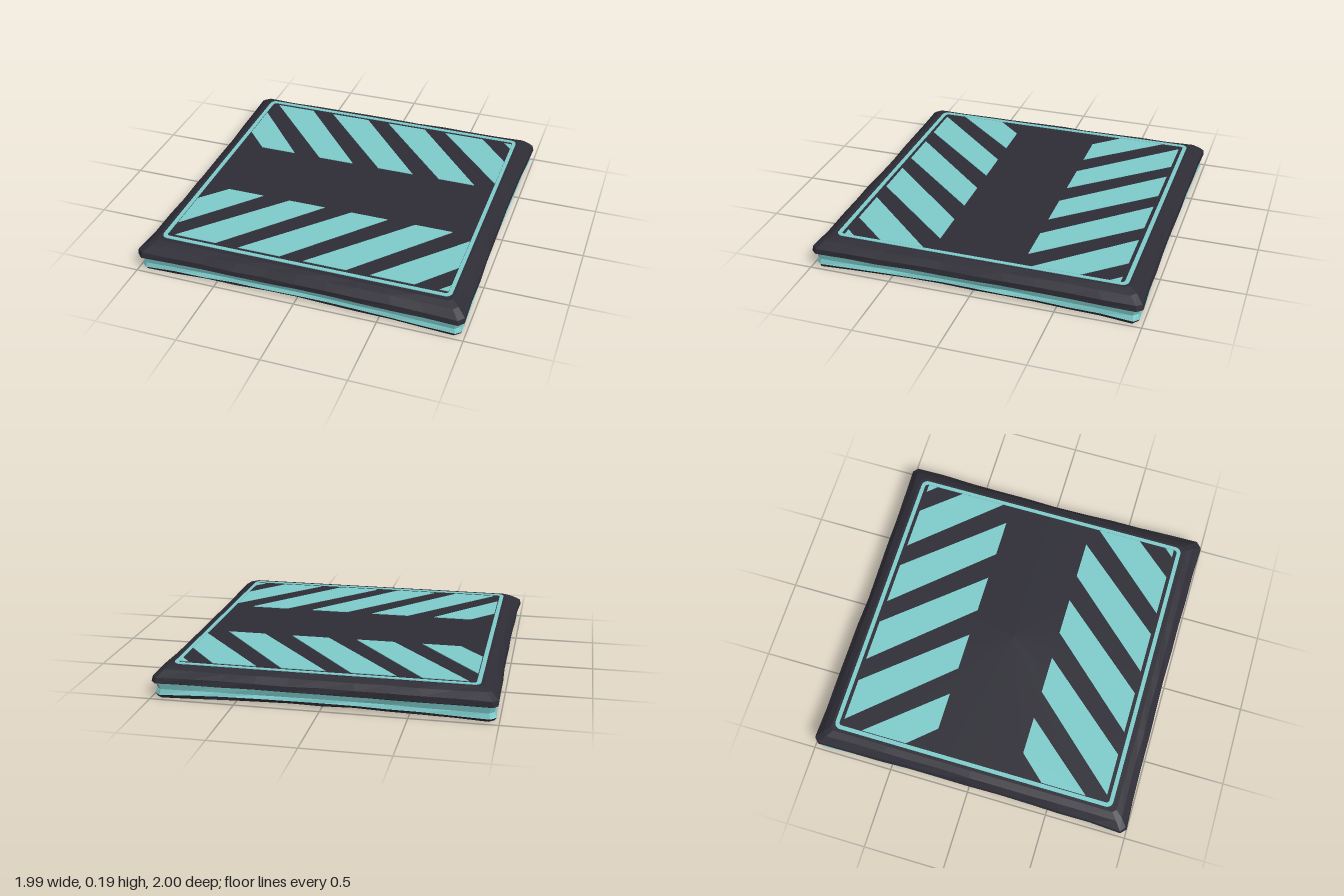
import * as THREE from 'three';

const dark = new THREE.MeshStandardMaterial({ color: 0x2e2d36 });
dark.name = 'charcoal';
dark.flatShading = true;
const teal = new THREE.MeshStandardMaterial({ color: 0x7fcdcd });
teal.name = 'teal';
teal.flatShading = true;

const SEG = 10; // steps along each side
const TOP = 0.186;

// Small repeatable irregularity in the range -1..1
const wobble = (n) => {
  const s = Math.sin(n * 12.9898) * 43758.5453;
  return (s - Math.floor(s)) * 2 - 1;
};

// One square cross-section with clipped corners: sides bow in by `bow`,
// and the middle of each side is raised by `lift`.
function ring({ half, y, clip = 0.03, bow = 0, lift = 0, rough = 0, seed = 0 }) {
  const points = [];
  for (let side = 0; side < 4; side++) {
    const angle = (side * Math.PI) / 2;
    for (let i = 0; i <= SEG; i++) {
      const t = (i / SEG) * 2 - 1;
      const n = seed * 97 + side * (SEG + 1) + i + 1;
      const mid = 1 - t * t;
      const out = half - bow * mid + rough * wobble(n);
      const p = new THREE.Vector3(t * (half - clip), y + lift * mid + rough * 0.6 * wobble(n + 500), out);
      points.push(p.applyAxisAngle(new THREE.Vector3(0, 1, 0), angle));
    }
  }
  return points;
}

// Skin between successive rings (bottom to top), with optional flat caps
function loft(name, material, rings, { bottomY, topY } = {}) {
  const positions = [];
  const tri = (a, b, c) => [a, b, c].forEach((p) => positions.push(p.x, p.y, p.z));
  const count = rings[0].length;
  const last = rings[rings.length - 1];
  for (let i = 0; i < count; i++) {
    const j = (i + 1) % count;
    for (let r = 0; r + 1 < rings.length; r++) {
      const lo = rings[r], hi = rings[r + 1];
      tri(lo[i], lo[j], hi[j]);
      tri(lo[i], hi[j], hi[i]);
    }
    if (bottomY !== undefined) tri(new THREE.Vector3(0, bottomY, 0), rings[0][j], rings[0][i]);
    if (topY !== undefined) tri(new THREE.Vector3(0, topY, 0), last[i], last[j]);
  }
  const geometry = new THREE.BufferGeometry();
  geometry.setAttribute('position', new THREE.Float32BufferAttribute(positions, 3));
  geometry.computeVertexNormals();
  const mesh = new THREE.Mesh(geometry, material);
  mesh.name = name;
  return mesh;
}

// Thin painted plate lying on the top face; shape coordinates are (x, -z)
function plate(name, shape) {
  const geometry = new THREE.ExtrudeGeometry(shape, { depth: 0.004, bevelEnabled: false, curveSegments: 5 });
  geometry.rotateX(-Math.PI / 2);
  const mesh = new THREE.Mesh(geometry, teal);
  mesh.position.y = TOP;
  mesh.name = name;
  return mesh;
}

function roundedRect(target, x0, x1, y0, y1, r) {
  target.absarc(x1 - r, y0 + r, r, -Math.PI / 2, 0);
  target.absarc(x1 - r, y1 - r, r, 0, Math.PI / 2);
  target.absarc(x0 + r, y1 - r, r, Math.PI / 2, Math.PI);
  target.absarc(x0 + r, y0 + r, r, Math.PI, Math.PI * 1.5);
  target.closePath();
  return target;
}

// Keep the part of a polygon on one side of x = limit
function clipX(points, limit, sign) {
  const result = [];
  points.forEach((a, i) => {
    const b = points[(i + 1) % points.length];
    const da = (limit - a.x) * sign, db = (limit - b.x) * sign;
    if (da >= 0) result.push(a);
    if (da * db < 0) result.push(a.clone().lerp(b, da / (da - db)));
  });
  return result;
}

// A row of slanted hazard stripes between the outer and inner edge
function stripeRow(name, outer, inner) {
  const row = new THREE.Group();
  row.name = name;
  for (let k = -1; k <= 4; k++) {
    const x = -0.815 + k * 0.407;
    const corners = [[x, outer], [x + 0.26, outer], [x + 0.745, inner], [x + 0.512, inner]]
      .map(([px, py]) => new THREE.Vector2(px, py));
    const points = clipX(clipX(corners, 0.865, 1), -0.855, -1);
    if (points.length > 2) row.add(plate('stripe', new THREE.Shape(points)));
  }
  return row;
}

export function createModel() {
  const model = new THREE.Group();
  model.name = 'floorPad';

  // Shared seams between the three layers
  const lowerSeam = ring({ half: 0.98, y: 0.024, bow: 0.012, lift: 0.016, rough: 0.005, seed: 2 });
  const upperSeam = ring({ half: 0.98, y: 0.094, bow: 0.01, rough: 0.002, seed: 3 });

  // Thin dark underside
  const foot = ring({ half: 0.97, y: 0.006, bow: 0.012, lift: 0.016, rough: 0.005, seed: 1 });
  model.add(loft('base', dark, [foot, lowerSeam], { bottomY: 0.022 }));

  // Coloured band around the sides, pinched a little in the middle
  const waist = ring({ half: 0.972, y: 0.055, bow: 0.012, lift: 0.006, rough: 0.003, seed: 4 });
  model.add(loft('sideBand', teal, [lowerSeam, waist, upperSeam]));

  // Dark upper slab with a sloping worn rim
  model.add(loft('topSlab', dark, [
    upperSeam,
    ring({ half: 0.994, y: 0.1, bow: 0.013, rough: 0.004, seed: 5 }),
    ring({ half: 0.99, y: 0.132, bow: 0.012, rough: 0.005, seed: 6 }),
    ring({ half: 0.945, y: 0.168, clip: 0.025, rough: 0.004, seed: 7 }),
    ring({ half: 0.905, y: TOP, clip: 0.02 }),
  ], { topY: TOP }));

  // Border line
  const border = roundedRect(new THREE.Shape(), -0.885, 0.89, -0.875, 0.889, 0.04);
  border.holes.push(roundedRect(new THREE.Path(), -0.86, 0.867, -0.85, 0.864, 0.02));
  model.add(plate('border', border));

  // Stripes slant towards the centre line from back and front
  model.add(stripeRow('backStripes', 0.842, 0.27));
  model.add(stripeRow('frontStripes', -0.828, -0.272));

  return model;
}
